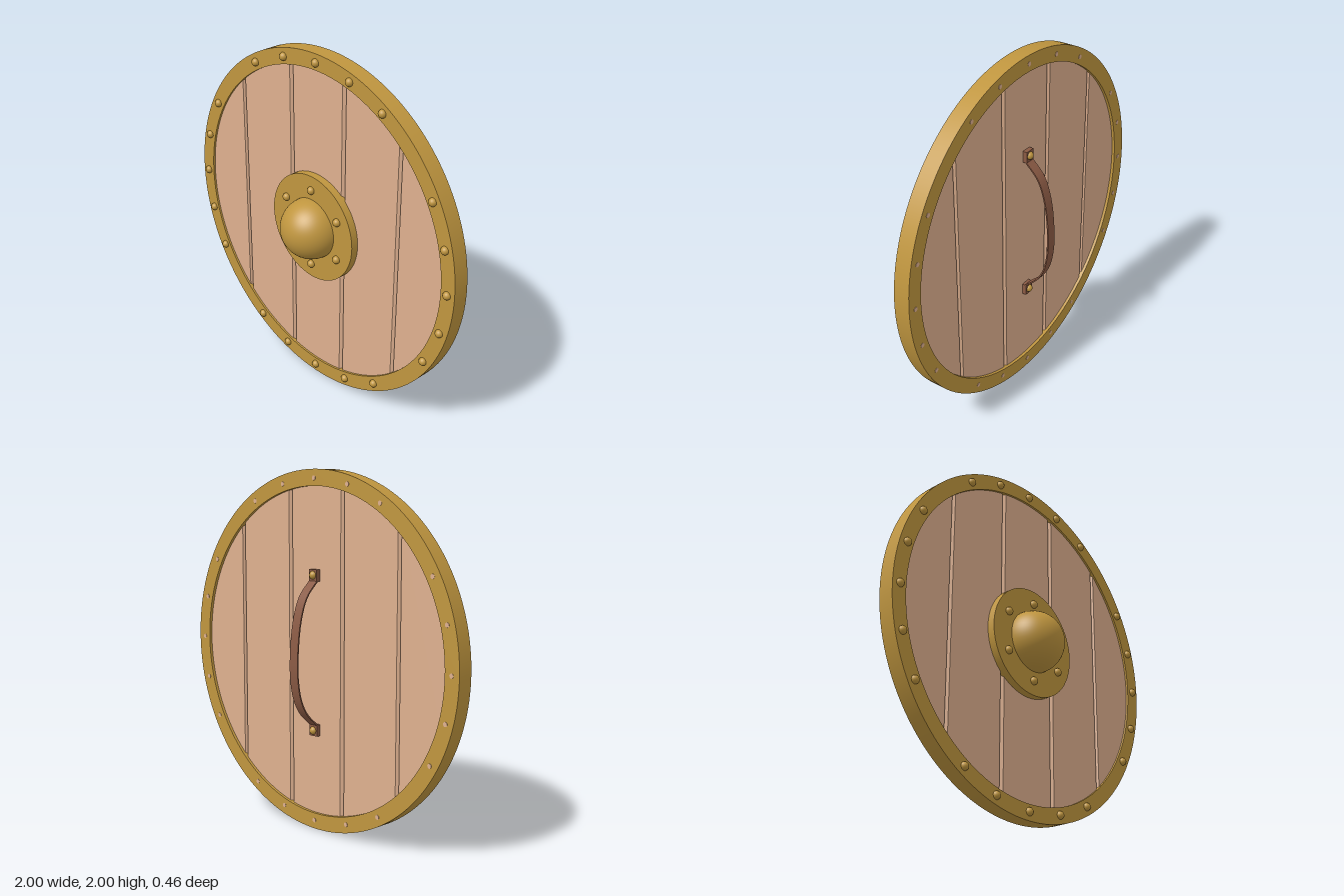
import * as THREE from 'three';
import { toCreasedNormals } from 'three/addons/utils/BufferGeometryUtils.js';

export function createModel() {
  const gold = new THREE.MeshStandardMaterial({ name: 'brass', color: 0xc0963f });
  const wood = new THREE.MeshStandardMaterial({ name: 'pale wood', color: 0xdeb08f });
  const leather = new THREE.MeshStandardMaterial({ name: 'brown leather', color: 0x8a5a44 });

  const shield = new THREE.Group();
  shield.name = 'roundShield';
  const disc = new THREE.Group(); // everything is built around the shield's centre
  disc.name = 'shieldBody';
  disc.position.y = 1;
  shield.add(disc);

  const add = (name, geometry, material, x = 0, y = 0, z = 0) => {
    const mesh = new THREE.Mesh(geometry, material);
    mesh.name = name;
    mesh.position.set(x, y, z);
    disc.add(mesh);
    return mesh;
  };

  // Metal rim
  const ring = new THREE.Shape().absarc(0, 0, 1, 0, Math.PI * 2);
  ring.holes.push(new THREE.Path().absarc(0, 0, 0.91, 0, Math.PI * 2, true));
  const rimGeo = new THREE.ExtrudeGeometry(ring, { depth: 0.094, bevelEnabled: false, curveSegments: 96 });
  add('rim', toCreasedNormals(rimGeo, 0.5), gold, 0, 0, -0.072);

  // Five planks with chamfered edges; their curved ends are tucked into the rim
  const R = 0.95, bevel = 0.015;
  const edges = [-0.94, -0.6, -0.2, 0.2, 0.6, 0.94];
  for (let i = 0; i < 5; i++) {
    const top = [], bottom = [];
    for (let k = 0; k <= 16; k++) {
      const x = THREE.MathUtils.lerp(edges[i], edges[i + 1], k / 16);
      const y = Math.sqrt(R * R - x * x);
      bottom.push(new THREE.Vector2(x, -y));
      top.unshift(new THREE.Vector2(x, y));
    }
    const geo = new THREE.ExtrudeGeometry(new THREE.Shape([...bottom, ...top]), {
      depth: 0.035, bevelSize: bevel, bevelThickness: bevel, bevelOffset: -bevel, bevelSegments: 1,
    });
    add('plank', geo, wood, 0, 0, -0.04);
  }

  // Central boss: round plate and dome
  const plateGeo = new THREE.CylinderGeometry(0.315, 0.315, 0.055, 64).rotateX(Math.PI / 2);
  add('bossPlate', plateGeo, gold, 0, 0, 0.0265);
  const domeGeo = new THREE.SphereGeometry(0.175, 48, 20, 0, Math.PI * 2, 0, Math.PI / 2).rotateX(Math.PI / 2);
  add('bossDome', domeGeo, gold, 0, 0, 0.054);

  // Rivets: rim (none on the diagonals), with pin ends showing at the back
  const rivetGeo = new THREE.SphereGeometry(0.023, 16, 12);
  const pinGeo = new THREE.CylinderGeometry(0.013, 0.013, 0.006, 12).rotateX(Math.PI / 2);
  for (let i = 0; i < 24; i++) {
    if (i % 6 === 3) continue;
    const a = (i / 24) * Math.PI * 2;
    const x = 0.952 * Math.cos(a), y = 0.952 * Math.sin(a);
    add('rimRivet', rivetGeo, gold, x, y, 0.023);
    add('rivetPin', pinGeo, wood, x, y, -0.071);
  }
  for (let i = 0; i < 6; i++) {
    const a = Math.PI / 6 + (i / 6) * Math.PI * 2;
    add('bossRivet', rivetGeo, gold, 0.232 * Math.cos(a), 0.232 * Math.sin(a), 0.057);
  }

  // Leather grip: a bowed strap, its side profile extruded across the width
  const bow = new THREE.CatmullRomCurve3(
    [[-0.055, 0.42], [-0.08, 0.395], [-0.154, 0.315], [-0.2, 0.185], [-0.222, 0],
      [-0.222, -0.11], [-0.2, -0.235], [-0.154, -0.325], [-0.08, -0.395], [-0.055, -0.42]]
      .map(([z, y]) => new THREE.Vector3(z, y, 0)));
  const outer = [], inner = [];
  for (let k = 0; k <= 40; k++) {
    const p = bow.getPoint(k / 40), t = bow.getTangent(k / 40);
    outer.push(new THREE.Vector2(p.x + t.y * 0.004, p.y - t.x * 0.004));
    inner.unshift(new THREE.Vector2(p.x - t.y * 0.004, p.y + t.x * 0.004));
  }
  const strapGeo = new THREE.ExtrudeGeometry(new THREE.Shape([...outer, ...inner]), { depth: 0.06, bevelEnabled: false });
  strapGeo.translate(0, 0, -0.03).rotateY(-Math.PI / 2);
  add('gripStrap', toCreasedNormals(strapGeo, 0.6), leather);

  // Grip end tabs, each held by a rivet
  for (const s of [1, -1]) {
    add('gripTab', new THREE.BoxGeometry(0.06, 0.065, 0.03), leather, 0, s * 0.43, -0.066);
    add('gripRivet', rivetGeo, gold, 0, s * 0.432, -0.077);
  }

  return shield;
}
